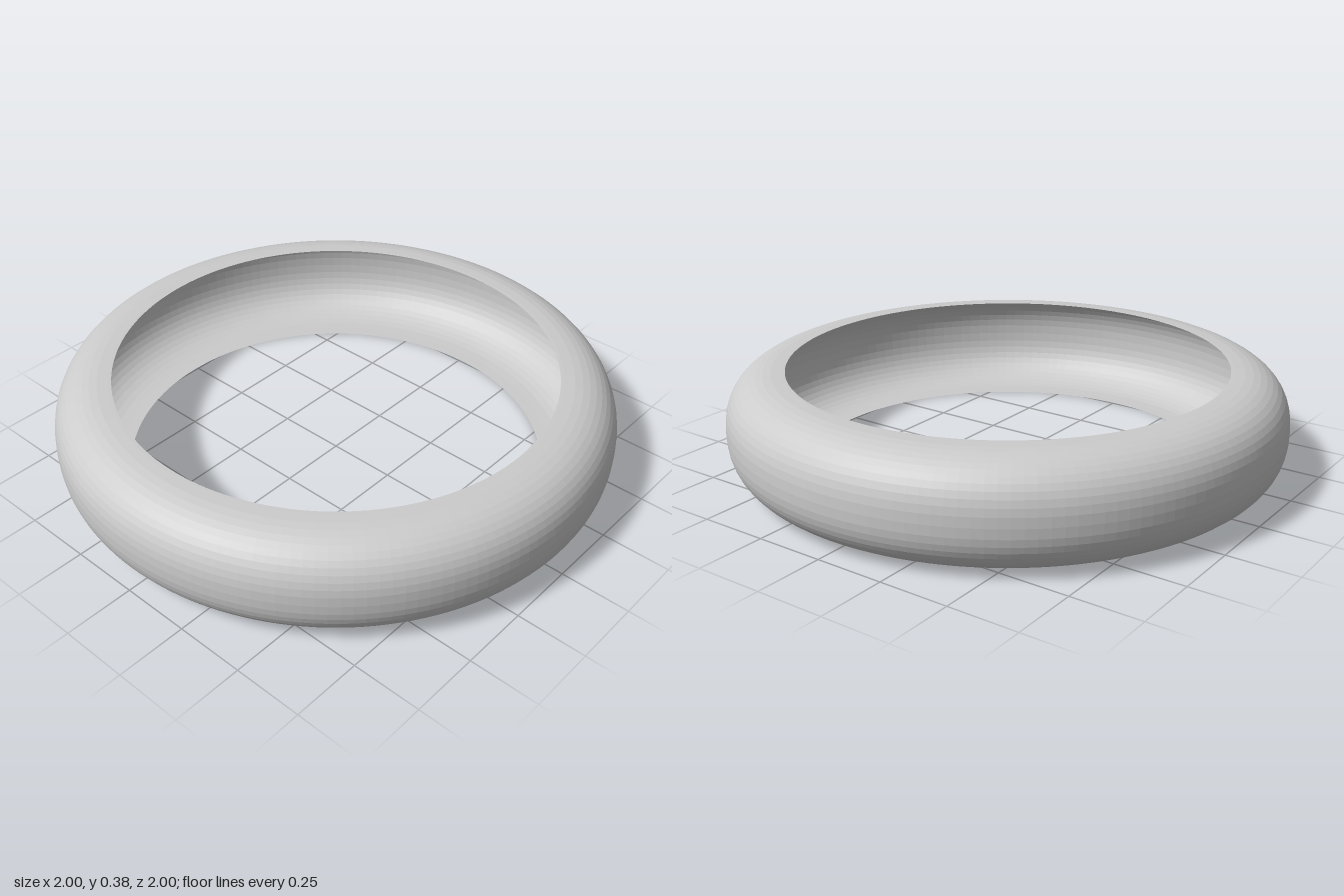
import * as THREE from 'three';

const HEIGHT = 0.38;
const SHOULDER = 0.8; // radius where the flat side walls begin to round over
const TOP_LIP = 0.787;
const BOTTOM_LIP = 0.755;

// Cross-section from the bottom lip, around the tread, to the top lip
function tyreProfile(steps = 24, power = 2.4) {
  const half = HEIGHT / 2;
  const points = [new THREE.Vector2(BOTTOM_LIP, 0)];
  for (let i = 0; i <= steps; i++) {
    const a = -Math.PI / 2 + (Math.PI * i) / steps;
    const c = Math.max(0, Math.cos(a));
    const s = Math.sin(a);
    points.push(new THREE.Vector2(
      SHOULDER + (1 - SHOULDER) * Math.pow(c, 2 / power),
      half + half * Math.sign(s) * Math.pow(Math.abs(s), 2 / power),
    ));
  }
  points.push(new THREE.Vector2(TOP_LIP, HEIGHT));
  return points;
}

export function createModel() {
  const group = new THREE.Group();
  group.name = 'tyre';

  // Thin hollow shell, open towards the hub
  const shell = new THREE.Mesh(
    new THREE.LatheGeometry(tyreProfile(), 160),
    new THREE.MeshStandardMaterial({ color: 0xcccccc, flatShading: true, side: THREE.DoubleSide }),
  );
  shell.name = 'tyreShell';
  group.add(shell);

  return group;
}
